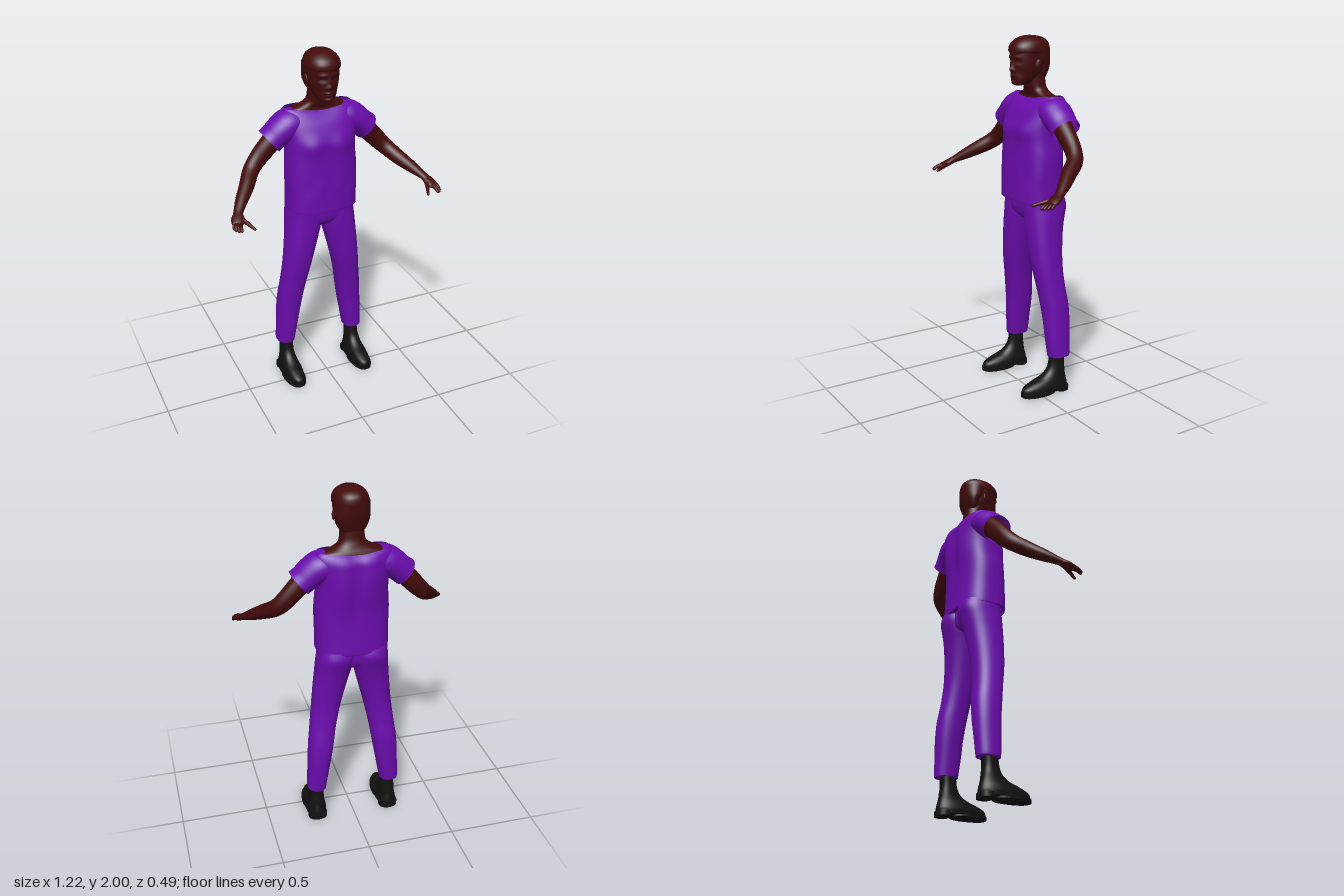
import * as THREE from 'three';
import { mergeGeometries } from 'three/addons/utils/BufferGeometryUtils.js';

const V = (x, y, z) => new THREE.Vector3(x, y, z);

// Catmull-Rom resampling of rows of numbers
function sample(rows, per = 5) {
  const out = [], last = rows.length - 1;
  for (let i = 0; i < last; i++) {
    const [a, b, c, d] = [rows[Math.max(i - 1, 0)], rows[i], rows[i + 1], rows[Math.min(i + 2, last)]];
    for (let s = 0; s < per; s++) {
      const t = s / per;
      out.push(b.map((_, k) => b[k] + 0.5 * t * (c[k] - a[k] + t * (2 * a[k] - 5 * b[k] + 4 * c[k] - d[k]
        + t * (3 * (b[k] - c[k]) + d[k] - a[k])))));
    }
  }
  out.push(rows[last]);
  return out;
}

// Surface through rings of points; caps get their own vertices so the rim stays sharp
function skinRings(rings, { start = true, end = true, rule } = {}) {
  const n = rings[0].length, pts = rings.flat(), index = [];
  if (rule) pts.forEach(rule);
  for (let i = 0; i < rings.length - 1; i++) for (let j = 0; j < n; j++) {
    const a = i * n + j, b = i * n + (j + 1) % n;
    index.push(a, a + n, b, b, a + n, b + n);
  }
  const cap = (ring, flip) => {
    const base = pts.length, mid = V(0, 0, 0);
    ring.forEach((p) => { pts.push(p.clone()); mid.addScaledVector(p, 1 / n); });
    pts.push(mid);
    for (let j = 0; j < n; j++) {
      const a = base + j, b = base + (j + 1) % n;
      index.push(base + n, flip ? b : a, flip ? a : b);
    }
  };
  if (start) cap(rings[0], false);
  if (end) cap(rings[rings.length - 1], true);
  const g = new THREE.BufferGeometry().setFromPoints(pts);
  g.setIndex(index);
  g.computeVertexNormals();
  return g;
}

const power = (v, n) => Math.sign(v) * Math.abs(v) ** (2 / n);

// Upright body: rows are [y, centreX, halfWidth, frontZ, backZ]
function upright(rows, { sides = 40, n = 2.2, taper = 0, per = 5, ...opts } = {}) {
  const rings = sample(rows, per).map(([y, cx, rx, zf, zb]) => Array.from({ length: sides }, (_, j) => {
    const t = j / sides * Math.PI * 2, s = power(Math.sin(t), n);
    return V(cx + rx * power(Math.cos(t), n) * (1 - taper * s), y, (zf + zb) / 2 + (zf - zb) / 2 * s);
  }));
  return skinRings(rings, opts);
}

// Limb along a path: rows are [x, y, z, thickness, width]
function limb(rows, { sides = 20, per = 5, ...opts } = {}) {
  const s = sample(rows, per), last = s.length - 1;
  const rings = s.map(([x, y, z, ru, rv], i) => {
    const p = s[Math.max(i - 1, 0)], q = s[Math.min(i + 1, last)];
    const T = V(q[0] - p[0], q[1] - p[1], q[2] - p[2]).normalize();
    const u = V(0, 1, 0).addScaledVector(T, -T.y).normalize(), v = u.clone().cross(T);
    return Array.from({ length: sides }, (_, j) => {
      const t = j / sides * Math.PI * 2;
      return V(x, y, z).addScaledVector(u, ru * Math.cos(t)).addScaledVector(v, rv * Math.sin(t));
    });
  });
  return skinRings(rings, opts);
}

function mirrored(g) {
  const m = g.clone().scale(-1, 1, 1), ix = m.index.array;
  for (let i = 0; i < ix.length; i += 3) [ix[i], ix[i + 1]] = [ix[i + 1], ix[i]];
  m.computeVertexNormals();
  return m;
}

const bell = (d, s) => Math.exp(-((d / s) ** 2));

export function createModel() {
  const group = new THREE.Group();
  const mat = (name, color, side = THREE.FrontSide) => {
    const m = new THREE.MeshStandardMaterial({ color, side });
    m.name = name;
    return m;
  };
  const cloth = mat('purple cloth', 0x6a0dad, THREE.DoubleSide);
  const skin = mat('dark skin', 0x420b0b);
  const leather = mat('black leather', 0x111111);
  const add = (name, g, m) => {
    const mesh = new THREE.Mesh(g, m);
    mesh.name = name;
    group.add(mesh);
  };
  const pair = (name, g, m) => { add(name + 'Left', g, m); add(name + 'Right', mirrored(g), m); };

  // Shirt body with chest, spine groove and dipped neckline
  add('shirtBody', upright([
    [1.1, 0, 0.2, 0.043, -0.23], [1.12, 0, 0.2, 0.045, -0.232], [1.22, 0, 0.2, 0.043, -0.226],
    [1.34, 0, 0.202, 0.036, -0.222], [1.44, 0, 0.194, 0.034, -0.23], [1.51, 0, 0.195, 0.03, -0.234],
    [1.58, 0, 0.205, 0.004, -0.232], [1.63, 0, 0.212, -0.022, -0.228], [1.665, 0, 0.205, -0.045, -0.215],
    [1.682, 0, 0.192, -0.062, -0.2],
  ], {
    sides: 64, n: 2.7, end: false,
    rule: (p) => {
      const x = Math.abs(p.x);
      if (p.z < -0.1) p.z += bell(p.y - 1.5, 0.17) * (0.012 * bell(x, 0.025) - 0.01 * bell(x - 0.07, 0.05));
      else p.z += bell(p.y - 1.49, 0.05) * 0.012 * bell(x - 0.08, 0.05) + 0.004 * bell(p.y - 1.25, 0.05) * Math.sin(x * 40);
      p.y -= 0.016 * bell(x, 0.11) * THREE.MathUtils.smoothstep(p.y, 1.6, 1.68);
    },
  }), cloth);

  // Short flared sleeves, open at the cuff
  pair('sleeve', limb([
    [0.11, 1.605, -0.12, 0.07, 0.085], [0.17, 1.598, -0.12, 0.082, 0.094], [0.22, 1.568, -0.118, 0.08, 0.09],
    [0.26, 1.535, -0.118, 0.075, 0.084], [0.287, 1.513, -0.118, 0.077, 0.083],
  ], { sides: 32, start: false, end: false }), cloth);

  // Trousers
  pair('trouserLeg', upright([
    [0.21, 0.217, 0.053, -0.07, -0.197], [0.225, 0.217, 0.055, -0.068, -0.199], [0.32, 0.207, 0.061, -0.06, -0.203],
    [0.42, 0.196, 0.068, -0.055, -0.207], [0.52, 0.184, 0.072, -0.043, -0.204], [0.62, 0.169, 0.074, -0.028, -0.19],
    [0.74, 0.149, 0.08, -0.008, -0.184], [0.86, 0.128, 0.089, 0.002, -0.193], [0.95, 0.112, 0.096, 0.006, -0.207],
    [1.01, 0.102, 0.101, 0.007, -0.222], [1.07, 0.096, 0.1, 0.008, -0.238], [1.12, 0.093, 0.098, 0.008, -0.225],
  ], { n: 2.3 }), cloth);
  add('trouserSeat', upright([
    [0.985, 0, 0.05, -0.04, -0.15], [1.01, 0, 0.1, -0.01, -0.19], [1.05, 0, 0.17, 0.007, -0.205], [1.12, 0, 0.188, 0.008, -0.205],
  ], { n: 2.6 }), cloth);

  // Boots: upper, split sole and heel
  pair('boot', upright([
    [0.014, 0.216, 0.057, 0.104, -0.184], [0.035, 0.216, 0.059, 0.108, -0.187], [0.055, 0.216, 0.056, 0.096, -0.184],
    [0.075, 0.216, 0.05, 0.052, -0.179], [0.095, 0.216, 0.045, -0.008, -0.174], [0.125, 0.216, 0.041, -0.052, -0.17],
    [0.17, 0.215, 0.038, -0.073, -0.165], [0.24, 0.215, 0.039, -0.08, -0.17],
  ], { n: 2.3, taper: 0.12 }), leather);
  const slab = (y0, y1, rx, zf, zb, taper) => upright([[y0, 0.217, rx, zf, zb], [y1, 0.217, rx, zf, zb]], { per: 1, n: 2.4, taper });
  pair('bootSole', mergeGeometries([
    slab(0.004, 0.024, 0.061, 0.112, -0.1, 0.12), slab(0.016, 0.03, 0.059, 0.11, -0.188, 0.1), slab(0, 0.026, 0.055, -0.105, -0.191, -0.05),
  ]), leather);

  // Shoulders and neck
  add('neckAndShoulders', upright([
    [1.6, 0, 0.19, -0.06, -0.2], [1.655, 0, 0.188, -0.066, -0.194], [1.674, 0, 0.165, -0.07, -0.188],
    [1.69, 0, 0.115, -0.066, -0.18], [1.71, 0, 0.079, -0.058, -0.172], [1.74, 0, 0.067, -0.05, -0.163],
    [1.8, 0, 0.064, -0.04, -0.158],
  ]), skin);

  // Head, modelled with soft bumps: [x, y, push, width, height]
  const bumps = [
    [0, 1.822, 0.017, 0.013, 0.014], [0, 1.85, 0.009, 0.009, 0.025], [0.016, 1.815, 0.006, 0.008, 0.008],
    [0.035, 1.862, -0.011, 0.018, 0.011], [0.035, 1.86, 0.005, 0.01, 0.006], [0.03, 1.885, 0.005, 0.025, 0.009],
    [0, 1.789, 0.007, 0.022, 0.006], [0, 1.776, 0.006, 0.02, 0.005], [0, 1.764, -0.005, 0.025, 0.006],
    [0, 1.748, 0.004, 0.022, 0.009], [0.05, 1.8, -0.005, 0.016, 0.025],
  ];
  const face = (p) => {
    if (p.z < -0.045) return;
    const { x, y } = p;
    for (const [bx, by, push, w, h] of bumps) p.z += push * bell(Math.abs(x) - bx, w) * bell(y - by, h);
  };
  add('head', upright([
    [1.735, 0, 0.022, 0.018, -0.03], [1.745, 0, 0.043, 0.03, -0.06], [1.77, 0, 0.061, 0.034, -0.1],
    [1.8, 0, 0.073, 0.035, -0.135], [1.84, 0, 0.083, 0.037, -0.165], [1.88, 0, 0.088, 0.038, -0.176],
    [1.92, 0, 0.089, 0.036, -0.179], [1.96, 0, 0.078, 0.02, -0.168], [1.99, 0, 0.04, -0.03, -0.12],
  ], { sides: 96, per: 8, rule: face }), skin);

  // Close-cropped hair: crown and back
  add('hair', mergeGeometries([
    upright([
      [1.908, 0, 0.09, 0.037, -0.181], [1.916, 0, 0.095, 0.044, -0.184], [1.94, 0, 0.093, 0.042, -0.184],
      [1.965, 0, 0.082, 0.026, -0.176], [1.985, 0, 0.06, -0.002, -0.152], [1.996, 0, 0.032, -0.03, -0.115],
      [2, 0, 0.006, -0.062, -0.08],
    ]),
    upright([
      [1.775, 0, 0.058, -0.1, -0.157], [1.8, 0, 0.073, -0.095, -0.165], [1.84, 0, 0.087, -0.085, -0.175],
      [1.88, 0, 0.092, -0.045, -0.182], [1.93, 0, 0.093, -0.02, -0.184],
    ]),
  ]), skin);

  // Ears
  const ear = new THREE.SphereGeometry(1, 16, 12).scale(0.008, 0.029, 0.017).rotateX(-0.2).rotateY(-0.3).translate(0.089, 1.848, -0.072);
  pair('ear', ear, skin);

  // Arms, bent forward at the elbow
  pair('arm', limb([
    [0.16, 1.605, -0.12, 0.06, 0.06], [0.22, 1.56, -0.118, 0.06, 0.057], [0.29, 1.495, -0.116, 0.056, 0.05],
    [0.36, 1.42, -0.113, 0.051, 0.045], [0.408, 1.37, -0.088, 0.046, 0.044], [0.455, 1.325, -0.02, 0.041, 0.041],
    [0.51, 1.28, 0.05, 0.031, 0.034], [0.548, 1.247, 0.105, 0.02, 0.026], [0.56, 1.234, 0.13, 0.018, 0.028],
  ], { sides: 24 }), skin);

  // Hands: palm, four curled fingers and a thumb
  const fingers = [[0.588, 0.155, 0.6, 0.192], [0.584, 0.168, 0.596, 0.212], [0.574, 0.176, 0.585, 0.228], [0.56, 0.18, 0.572, 0.234]];
  pair('hand', mergeGeometries([
    limb([[0.553, 1.24, 0.115, 0.018, 0.025], [0.563, 1.228, 0.14, 0.018, 0.035], [0.573, 1.215, 0.168, 0.015, 0.033], [0.577, 1.209, 0.182, 0.008, 0.025]]),
    ...fingers.map(([x0, z0, x1, z1]) => limb([
      [x0, 1.217, z0, 0.009, 0.009], [(x0 + x1) / 2 + 0.003, 1.209, (z0 + z1) / 2, 0.009, 0.009],
      [x1, 1.196, z1 - 0.006, 0.008, 0.008], [x1, 1.192, z1, 0.003, 0.003],
    ], { sides: 10 })),
    limb([
      [0.55, 1.228, 0.135, 0.014, 0.015], [0.534, 1.218, 0.175, 0.012, 0.012], [0.516, 1.206, 0.215, 0.009, 0.009],
      [0.506, 1.199, 0.238, 0.007, 0.007], [0.504, 1.197, 0.244, 0.002, 0.002],
    ], { sides: 12 }),
  ]), skin);

  return group;
}
